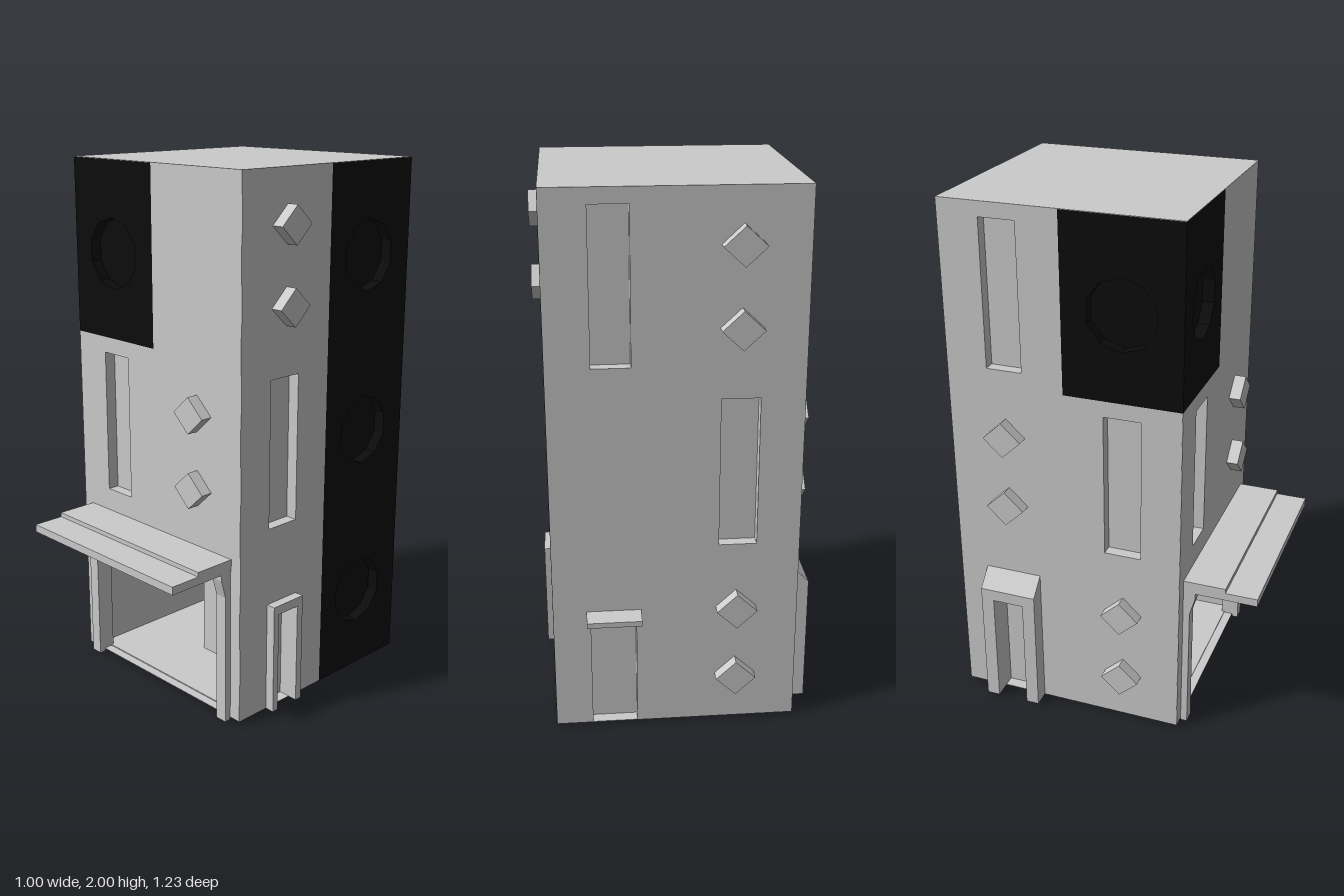
import * as THREE from 'three';

const GREY = new THREE.MeshStandardMaterial({ color: 0xcccccc, flatShading: true, side: THREE.DoubleSide });
const BLACK = new THREE.MeshStandardMaterial({ color: 0x0c0c0c, flatShading: true, side: THREE.DoubleSide });
const X0 = -0.435, X1 = 0.45, Z0 = -0.55, Z1 = 0.335;
const BASE = 0.01, TOP = 1.998, DEPTH = 0.045;

const points = (list) => list.map(([a, b]) => new THREE.Vector2(a, b));
const rect = (a, b, c, d) => points([[a, b], [c, b], [c, d], [a, d]]);
const decagon = (x, y) => points(Array.from({ length: 10 }, (_, i) => {
  const t = (i + 0.5) * Math.PI / 5;
  return [x + 0.132 * Math.cos(t), y + 0.132 * Math.sin(t)];
}));

function add(parent, name, geometry, material = GREY, x = 0, y = 0, z = 0) {
  const mesh = new THREE.Mesh(geometry, material);
  mesh.name = name;
  mesh.position.set(x, y, z);
  parent.add(mesh);
  return mesh;
}

const extrude = (shape, depth) => new THREE.ExtrudeGeometry(shape, { depth, bevelEnabled: false });

function box(parent, name, x0, x1, y0, y1, z0, z1) {
  return add(parent, name, new THREE.BoxGeometry(x1 - x0, y1 - y0, z1 - z0), GREY,
    (x0 + x1) / 2, (y0 + y1) / 2, (z0 + z1) / 2);
}

// Wall slab whose outer face is local z = 0, with recesses and open holes
function wall(parent, name, outline, recesses, material = GREY, openings = []) {
  const shape = new THREE.Shape(outline);
  for (const h of [...recesses, ...openings]) shape.holes.push(new THREE.Path(h));
  add(parent, name, extrude(shape, DEPTH), material, 0, 0, -DEPTH);
  for (const r of recesses) {
    add(parent, name + 'RecessBack', new THREE.ShapeGeometry(new THREE.Shape(r)), material, 0, 0, -DEPTH + 0.001);
  }
}

// Pairs of protruding diamond blocks
function diamonds(parent, u, heights) {
  const shape = new THREE.Shape(points([[-0.073, 0], [0, -0.068], [0.073, 0], [0, 0.068]]));
  for (const y of heights) add(parent, 'diamondBlock', extrude(shape, 0.045), GREY, u, y, 0);
}

// Profile in (outward, height), swept along the wall from u0 to u1
function sweep(parent, name, profile, u0, u1) {
  const g = extrude(new THREE.Shape(points(profile)), u1 - u0);
  g.rotateY(-Math.PI / 2);
  add(parent, name, g, GREY, u1, 0, 0);
}

function side(root, name, x, z, angle) {
  const g = new THREE.Group();
  g.name = name;
  g.position.set(x, 0, z);
  g.rotation.y = angle;
  root.add(g);
  return g;
}

export function createModel() {
  const root = new THREE.Group();
  root.name = 'tower';
  const e = 0.001;

  // Front: black corner panel, window, garage opening, columns and canopy
  const front = side(root, 'frontSide', 0, Z1, 0);
  wall(front, 'frontWall',
    points([[X0 + e, BASE], [X1 - e, BASE], [X1 - e, TOP], [0, TOP], [0, 1.34], [X0 + e, 1.34]]),
    [rect(-0.28, 0.73, -0.145, 1.28)], GREY, [rect(-0.34, BASE + 0.002, 0.355, 0.55)]);
  wall(front, 'frontBlackPanel', rect(X0 + e, 1.34, 0, TOP), [decagon(-0.22, 1.66)], BLACK);
  diamonds(front, 0.23, [1.145, 0.865]);
  for (const u of [-0.385, 0.355]) {
    sweep(front, 'garageColumn',
      [[0, 0], [0.025, 0], [0.025, 0.5], [0.045, 0.57], [0.045, 0.6], [0, 0.6]], u, u + 0.047);
  }
  sweep(front, 'garageCanopy',
    [[0, 0.595], [0.28, 0.595], [0.28, 0.625], [0.16, 0.625], [0.16, 0.642], [0, 0.642]], -0.387, 0.405);

  // Right-hand view side (+x): local u runs along -z
  const plusX = side(root, 'leftSide', X1, 0, Math.PI / 2);
  wall(plusX, 'leftWall', rect(-Z1 + e, BASE, 0.105, TOP),
    [rect(-0.19, 0.73, -0.05, 1.28), rect(-0.17, BASE + 0.002, -0.07, 0.4)]);
  wall(plusX, 'leftBlackPanel', rect(0.105, BASE, -Z0 - e, TOP),
    [1.66, 0.995, 0.33].map((y) => decagon(0.32, y)), BLACK);
  diamonds(plusX, -0.118, [1.81, 1.53]);
  add(plusX, 'leftDoorFrame', extrude(new THREE.Shape(points([[-0.195, BASE], [-0.17, BASE], [-0.17, 0.4],
    [-0.07, 0.4], [-0.07, BASE], [-0.042, BASE], [-0.042, 0.435], [-0.195, 0.435]])), 0.036));

  // Back: local u runs along -x
  const back = side(root, 'backSide', 0, Z0, Math.PI);
  wall(back, 'backWall', rect(-X1 + e, BASE, -X0 - e, TOP),
    [rect(-0.295, 1.4, -0.16, 1.945), rect(0.145, 0.73, 0.28, 1.28), rect(-0.315, BASE + 0.002, -0.15, 0.455)]);
  diamonds(back, 0.21, [1.81, 1.53, 0.48, 0.2]);
  sweep(back, 'backDoorCanopy', [[0, 0.445], [0.03, 0.452], [0.066, 0.452], [0.066, 0.472], [0, 0.482]], -0.33, -0.133);

  // Model's right side (-x): local u runs along +z
  const minusX = side(root, 'rightSide', X0, 0, -Math.PI / 2);
  wall(minusX, 'rightWall',
    points([[Z0 + e, BASE], [Z1 - e, BASE], [Z1 - e, 1.34], [-0.105, 1.34], [-0.105, TOP], [Z0 + e, TOP]]),
    [rect(-0.395, 1.4, -0.26, 1.945), rect(0.045, 0.73, 0.185, 1.28), rect(-0.39, BASE + 0.002, -0.27, 0.46)]);
  wall(minusX, 'rightBlackPanel', rect(-0.105, 1.34, Z1 - e, TOP), [decagon(0.115, 1.66)], BLACK);
  diamonds(minusX, -0.33, [1.145, 0.865]);
  diamonds(minusX, 0.115, [0.48, 0.2]);
  const hood = [[0, 0.46], [0.065, 0.46], [0.065, 0.505], [0, 0.57]];
  sweep(minusX, 'rightDoorHood', hood, -0.44, -0.22);
  for (const u of [-0.44, -0.27]) {
    sweep(minusX, 'rightDoorJamb', [[0, BASE], [0.065, BASE], [0.065, 0.46], [0, 0.46]], u, u + 0.05);
  }

  box(root, 'roof', X0, X1, TOP, 2, Z0, Z1);

  // L-shaped garage room behind the opening
  const plan = [[0.4, 0.3], [0.4, 0.04], [-0.05, 0.04], [-0.05, -0.5], [-0.385, -0.5], [-0.385, 0.3]];
  for (const [name, y] of [['garageFloor', BASE + 0.002], ['garageCeiling', 0.555]]) {
    const g = extrude(new THREE.Shape(points(plan)), 0.004);
    g.rotateX(Math.PI / 2);
    add(root, name, g, GREY, 0, y + 0.004, 0);
  }
  for (let i = 0; i < plan.length - 1; i++) {
    const [ax, az] = plan[i], [bx, bz] = plan[i + 1];
    const t = 0.002;
    box(root, 'garageInnerWall', Math.min(ax, bx) - t, Math.max(ax, bx) + t, BASE, 0.56,
      Math.min(az, bz) - t, Math.max(az, bz) + t);
  }
  return root;
}
